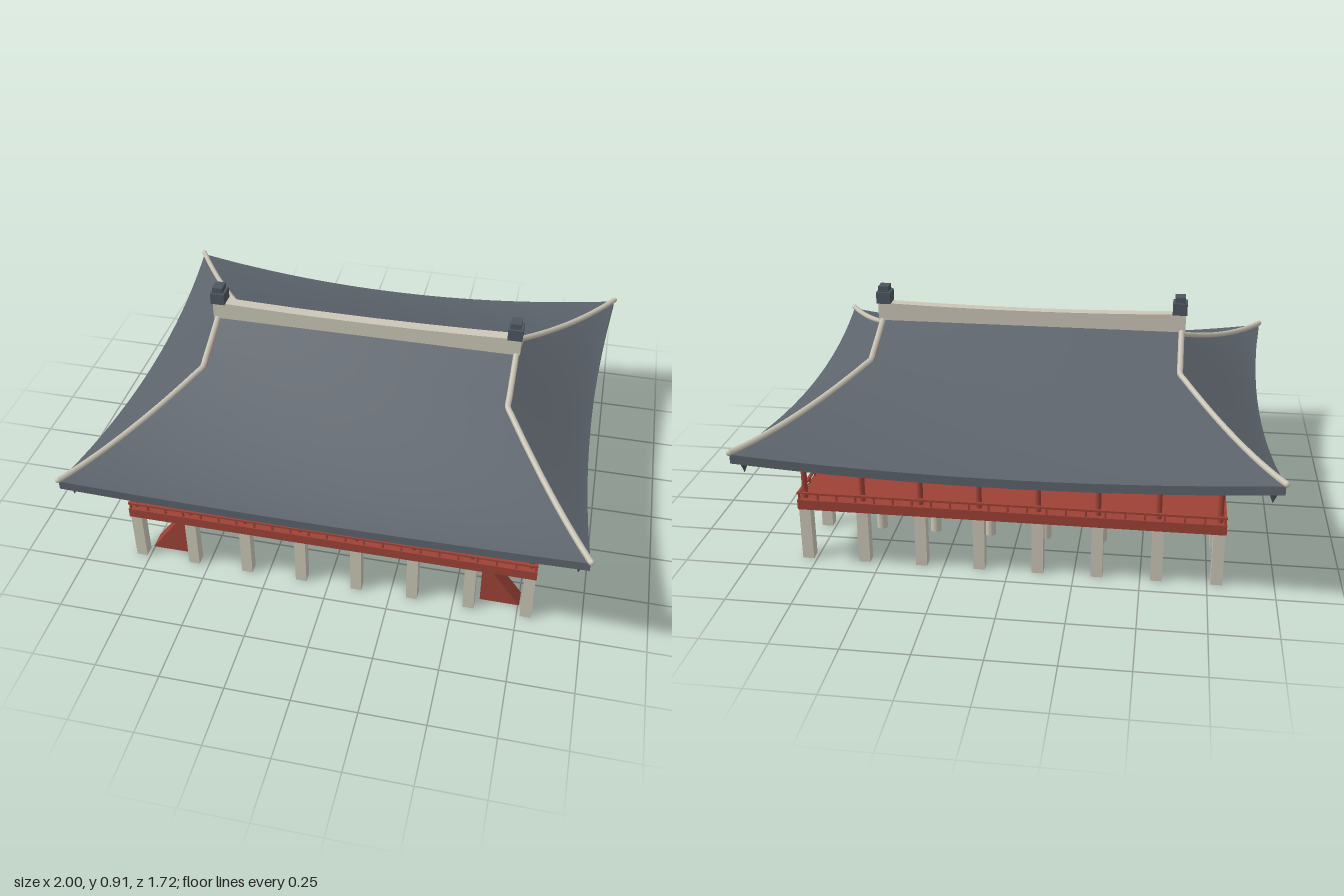
import * as THREE from 'three';
import { ParametricGeometry } from 'three/addons/geometries/ParametricGeometry.js';

const mat = (name, color, side = THREE.FrontSide) => {
  const m = new THREE.MeshStandardMaterial({ color, side });
  m.name = name;
  return m;
};

export function createModel() {
  const model = new THREE.Group();
  const tile = mat('roofTile', 0x5c636b, THREE.DoubleSide);
  const dark = mat('darkTile', 0x4e565f);
  const red = mat('redWood', 0x9e4236);
  const stone = mat('paleStone', 0xcbc6b7);
  const green = mat('greenPaint', 0x3f8068);
  const teal = mat('ceilingTeal', 0x2f5f58);

  const add = (name, geo, m, x = 0, y = 0, z = 0, parent = model) => {
    const mesh = new THREE.Mesh(geo, m);
    mesh.name = name;
    mesh.position.set(x, y, z);
    parent.add(mesh);
    return mesh;
  };
  const box = (name, w, h, d, m, x, y, z, parent) =>
    add(name, new THREE.BoxGeometry(w, h, d), m, x, y, z, parent);
  const group = (name) => {
    const g = new THREE.Group();
    g.name = name;
    model.add(g);
    return g;
  };

  // Column grid: 8 by 6 stone pillars, square outside and round inside
  const xs = Array.from({ length: 8 }, (_, i) => -0.785 + (i * 1.57) / 7);
  const zs = Array.from({ length: 6 }, (_, i) => -0.652 + (i * 1.304) / 5);
  const pillars = group('stonePillars');
  const columns = group('woodenColumns');
  xs.forEach((x, i) => zs.forEach((z, j) => {
    const outer = i === 0 || i === 7 || j === 0 || j === 5;
    if (outer) {
      box('squarePillar', 0.044, 0.22, 0.044, stone, x, 0.11, z, pillars);
      add('column', new THREE.CylinderGeometry(0.011, 0.011, 0.19, 10), red, x, 0.345, z, columns);
    } else {
      add('roundPillar', new THREE.CylinderGeometry(0.022, 0.022, 0.22, 12), stone, x, 0.11, z, pillars);
    }
  }));

  // Raised floor and inner hall
  box('floor', 1.62, 0.04, 1.36, red, 0, 0.235, 0);
  box('innerHall', 1.13, 0.19, 0.79, tile, 0, 0.35, 0);

  // Railing round the floor edge
  const railing = group('railing');
  for (const s of [-1, 1]) {
    box('longRail', 1.62, 0.008, 0.01, red, 0, 0.282, s * 0.673, railing);
    box('shortRail', 0.01, 0.008, 1.35, red, s * 0.803, 0.282, 0, railing);
    for (let i = 0; i <= 22; i++)
      box('railPost', 0.007, 0.028, 0.007, red, -0.803 + i * 0.073, 0.267, s * 0.673, railing);
    for (let i = 1; i < 20; i++)
      box('railPost', 0.007, 0.028, 0.007, red, s * 0.803, 0.267, -0.673 + i * 0.0673, railing);
  }

  // Stair ramps between the outer front pillars
  for (const s of [-1, 1]) {
    const tri = new THREE.Shape([[0.6, 0], [0.755, 0], [0.6, 0.215]].map(([x, y]) => new THREE.Vector2(s * x, y)));
    add('stairRamp', new THREE.ExtrudeGeometry(tri, { depth: 0.07, bevelEnabled: false }), red, 0, 0, 0.55);
  }

  // Beams, ceiling and eave brackets
  box('ceiling', 1.58, 0.01, 1.31, teal, 0, 0.448, 0);
  for (const s of [-1, 1]) {
    box('longLintel', 1.57, 0.012, 0.014, red, 0, 0.414, s * 0.652);
    box('shortLintel', 0.014, 0.012, 1.304, red, s * 0.785, 0.414, 0);
    box('longBeam', 1.59, 0.035, 0.02, green, 0, 0.437, s * 0.652);
    box('shortBeam', 0.02, 0.035, 1.32, green, s * 0.785, 0.437, 0);
  }
  const brackets = group('brackets');
  const bracket = (x, z, turn) => {
    const b = new THREE.Group();
    b.name = 'bracket';
    b.position.set(x, 0, z);
    b.rotation.y = turn;
    box('bracketBlock', 0.03, 0.016, 0.035, green, 0, 0.432, 0.008, b);
    box('bracketArm', 0.05, 0.014, 0.02, green, 0, 0.446, 0.02, b);
    box('bracketNose', 0.02, 0.018, 0.06, green, 0, 0.454, 0.02, b);
    brackets.add(b);
  };
  for (let i = 0; i <= 14; i++)
    for (const s of [-1, 1]) bracket(-0.785 + (i * 1.57) / 14, s * 0.652, s > 0 ? 0 : Math.PI);
  for (let i = 0; i <= 10; i++)
    for (const s of [-1, 1]) bracket(s * 0.785, -0.652 + (i * 1.304) / 10, (s * Math.PI) / 2);

  // Hip line: t = 0 at the ridge, T0 at the foot of the gable, 1 at the eave corner
  const T0 = 0.276;
  const hip = (t) => new THREE.Vector3(
    0.615 + 0.372 * Math.max(0, (t - T0) / (1 - T0)),
    0.515 + 0.25 * Math.pow(Math.max(0, 1 - t), 1.69),
    0.85 * t);
  // Roof slopes sag and pull in towards the middle of each eave
  const frontSlope = (s, t, p) => {
    const h = hip(t), k = (1 - s * s) * t * t;
    return p.set(s * h.x, h.y - 0.06 * k, h.z - 0.045 * k);
  };
  const sideSlope = (s, u, p) => {
    const h = hip(T0 + (1 - T0) * u), k = (1 - s * s) * u * u;
    return p.set(h.x - 0.045 * k, h.y - 0.06 * k, -s * h.z);
  };
  const inner = new THREE.Vector3();
  const DROP = 0.035;
  const slopes = [
    ['longSlope', frontSlope, (s) => inner.set(s * 0.795, 0.456, 0.66)],
    ['endSlope', sideSlope, (s) => inner.set(0.795, 0.456, -s * 0.66)],
  ];
  for (const [name, f, inside] of slopes) {
    const top = new ParametricGeometry((u, v, p) => f(2 * u - 1, 1 - v, p), 28, 20);
    const fascia = new ParametricGeometry((u, v, p) => {
      f(2 * u - 1, 1, p);
      p.y -= DROP * (1 - v);
    }, 28, 1);
    const soffit = new ParametricGeometry((u, v, p) => {
      f(2 * u - 1, 1, p);
      p.y -= DROP;
      p.lerp(inside(2 * u - 1), 1 - v);
    }, 28, 4);
    for (const turn of [0, Math.PI]) {
      add(name, top, tile).rotation.y = turn;
      add('eaveEdge', fascia, tile).rotation.y = turn;
      add('eaveUnderside', soffit, tile).rotation.y = turn;
    }
  }

  // Gables, corner ribs and hanging corner tips
  const profile = [];
  for (let i = -8; i <= 8; i++) {
    const h = hip((Math.abs(i) / 8) * T0);
    profile.push(new THREE.Vector2(Math.sign(i) * h.z, h.y));
  }
  const gable = new THREE.ExtrudeGeometry(new THREE.Shape(profile), { depth: 0.01, bevelEnabled: false });
  const ribPoints = Array.from({ length: 30 }, (_, i) => hip(i / 29));
  for (const sx of [-1, 1]) {
    add('gable', gable, red, sx > 0 ? 0.604 : -0.604, 0, 0).rotation.y = (sx * Math.PI) / 2;
    for (const sz of [-1, 1]) {
      const path = new THREE.CatmullRomCurve3(
        ribPoints.map((p) => new THREE.Vector3(sx * p.x, p.y + 0.008, sz * p.z)));
      add('cornerRib', new THREE.TubeGeometry(path, 58, 0.012, 6), stone);
      const end = path.getPoint(1);
      add('ribEnd', new THREE.SphereGeometry(0.012, 8, 6), stone, end.x, end.y, end.z);
      const tip = add('cornerTip', new THREE.ConeGeometry(0.03, 0.07, 4), dark, sx * 0.95, 0.465, sz * 0.815);
      tip.rotation.x = Math.PI;
    }
  }

  // Main ridge, slightly sagging, with stacked end ornaments
  const ridge = new THREE.BoxGeometry(1.26, 0.075, 0.045, 24, 1, 1);
  const pos = ridge.attributes.position;
  for (let i = 0; i < pos.count; i++)
    if (pos.getY(i) > 0) pos.setY(i, pos.getY(i) - 0.012 * (1 - (pos.getX(i) / 0.63) ** 2));
  ridge.computeVertexNormals();
  add('mainRidge', ridge, stone, 0, 0.802, 0);
  for (const s of [-1, 1]) {
    box('ridgeOrnament', 0.058, 0.048, 0.068, dark, s * 0.605, 0.862, 0);
    box('ridgeOrnamentCap', 0.042, 0.026, 0.052, dark, s * 0.605, 0.897, 0);
  }
  return model;
}
